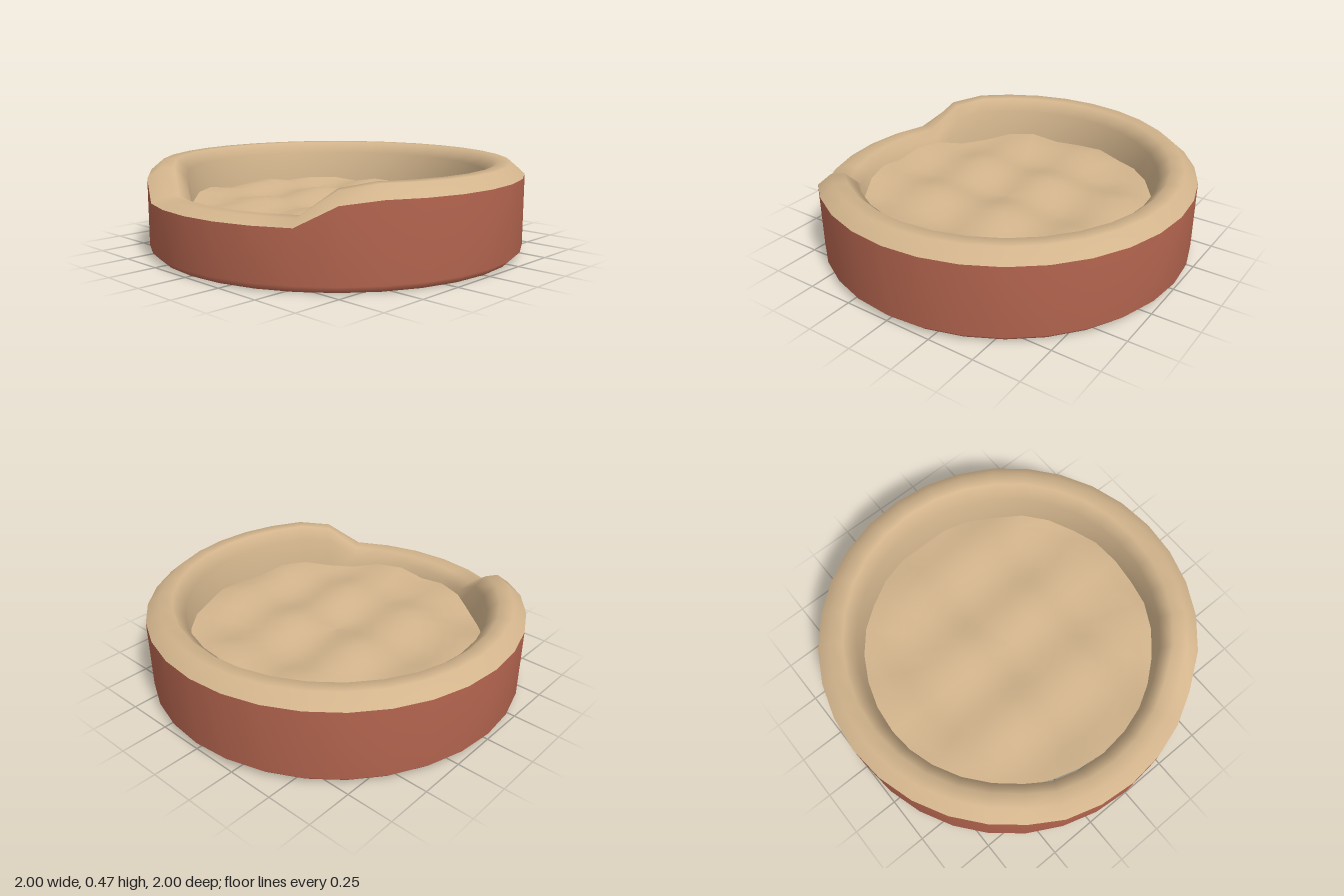
import * as THREE from 'three';

const SEG = 32;

// Closed loops of SEG points: point(j, i, angle) gives [radius, height], rows run from bottom/outside inwards
function loft(rows, point) {
  const pos = [], index = [];
  for (let j = 0; j < rows; j++) {
    for (let i = 0; i < SEG; i++) {
      const a = (i / SEG) * Math.PI * 2;
      const [r, y] = point(j, i, a);
      pos.push(r * Math.cos(a), y, r * Math.sin(a));
    }
  }
  for (let j = 0; j < rows - 1; j++) {
    for (let i = 0; i < SEG; i++) {
      const a = j * SEG + i, b = j * SEG + ((i + 1) % SEG), c = a + SEG, d = b + SEG;
      index.push(a, c, b, b, c, d);
    }
  }
  const g = new THREE.BufferGeometry();
  g.setAttribute('position', new THREE.Float32BufferAttribute(pos, 3));
  g.setIndex(index);
  g.computeVertexNormals();
  return g;
}

// 1 on the full-height wall, 0 in the low entrance on the -x side
function wallLevel(i) {
  if (i >= 13 && i <= 18) return 0;
  return i === 12 || i === 19 ? 0.82 : 1;
}

// Profiles: [radius, height at the entrance, height of the full wall]
const WALL = [[0.965, 0, 0], [1, 0.035, 0.035], [1, 0.29, 0.41]];
const RIM = [[1, 0.29, 0.41], [0.93, 0.32, 0.47], [0.86, 0.32, 0.47], [0.8, 0.29, 0.41], [0.78, 0.18, 0.18]];

function profileLoft(profile) {
  return loft(profile.length, (j, i) => {
    const [r, low, high] = profile[j];
    return [r, low + (high - low) * wallLevel(i)];
  });
}

export function createModel() {
  const group = new THREE.Group();
  const red = new THREE.MeshStandardMaterial({ color: 0xb5654f });
  red.name = 'terracotta fabric';
  const tan = new THREE.MeshStandardMaterial({ color: 0xd2b48c });
  tan.name = 'tan plush';

  const add = (name, geometry, material) => {
    const mesh = new THREE.Mesh(geometry, material);
    mesh.name = name;
    group.add(mesh);
  };

  // Outer shell and flat base
  add('outerWall', profileLoft(WALL), red);
  add('base', new THREE.CircleGeometry(0.965, SEG).rotateX(Math.PI / 2), red);

  // Soft padded rim with its inner wall
  add('paddedRim', profileLoft(RIM), tan);

  // Quilted cushion with gentle waves
  const rings = 13;
  add('cushion', loft(rings, (j, i, a) => {
    const r = 0.785 * (1 - j / (rings - 1));
    const x = r * Math.cos(a), z = r * Math.sin(a);
    return [r, 0.24 + 0.014 * Math.cos(14 * (x - 0.11)) + 0.017 * Math.cos(14 * (z - 0.22))];
  }), tan);

  return group;
}
